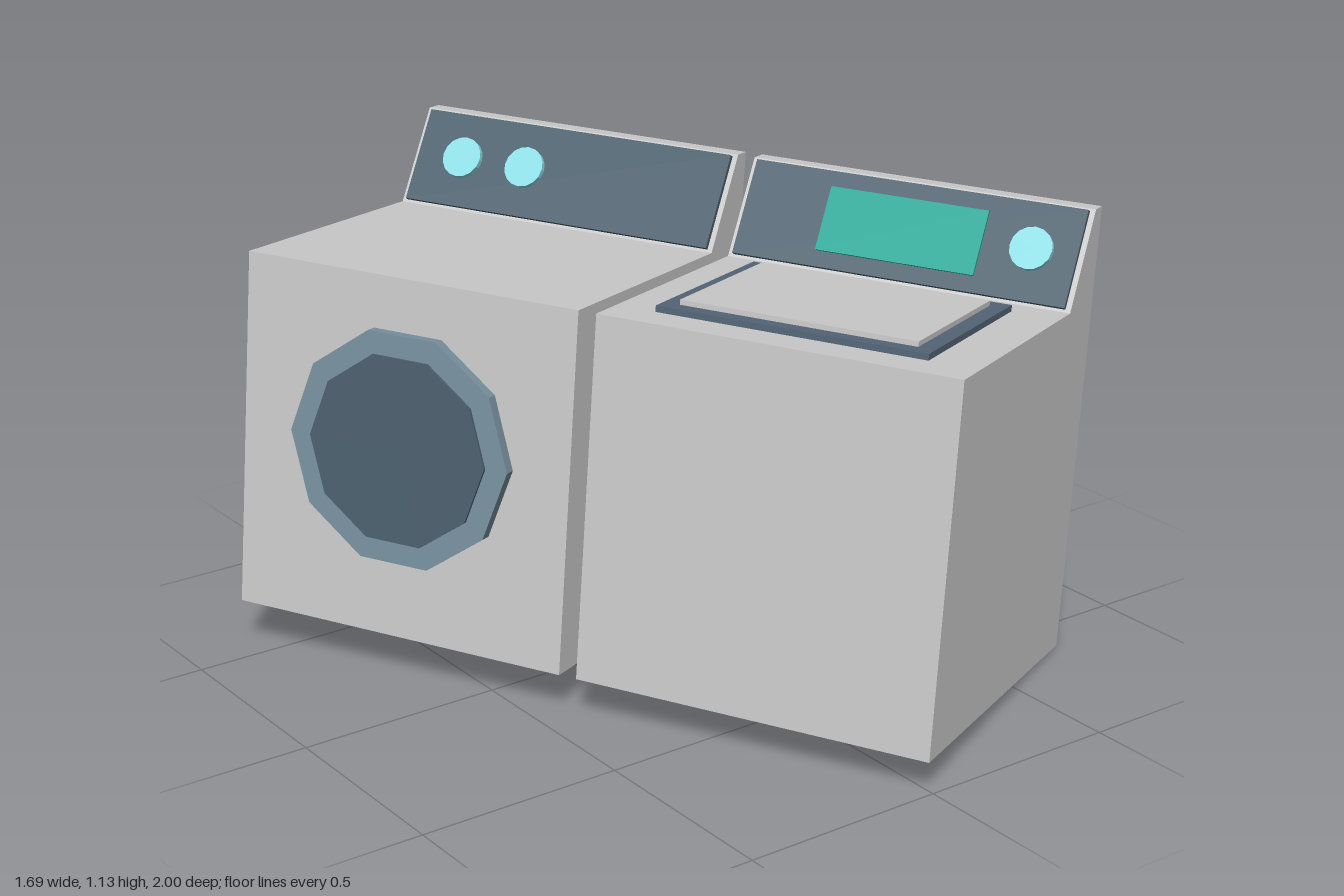
import * as THREE from 'three';

const W = 0.866, H = 0.866, D = 0.865, TOP = 1.09, PITCH = 0.91;
const SLOPE = { z0: 0.165, z1: 0.045 }; // control panel slope, foot and top

const mat = (color) => new THREE.MeshStandardMaterial({ color, flatShading: true });
const grey = mat(0xcccccc), dark = mat(0x4c606e), slate = mat(0x546678);
const steel = mat(0x7891a0), teal = mat(0x12a896), aqua = mat(0x8ee0e8);

function add(parent, name, geometry, material, x = 0, y = 0, z = 0) {
  const mesh = new THREE.Mesh(geometry, material);
  mesh.name = name;
  mesh.position.set(x, y, z);
  parent.add(mesh);
  return mesh;
}

// Disc whose axis faces +z, base on z = 0
function disc(radius, depth, sides) {
  return new THREE.CylinderGeometry(radius, radius, depth, sides)
    .rotateY(Math.PI / 2).rotateX(Math.PI / 2).translate(0, 0, depth / 2);
}

// Rectangle outline from its limits
function rect(Type, x0, y0, x1, y1) {
  return new Type([[x0, y0], [x1, y0], [x1, y1], [x0, y1]].map((p) => new THREE.Vector2(...p)));
}

// Cabinet with a raised sloping back; centred on x, back on z = 0
function appliance(name) {
  const group = new THREE.Group();
  group.name = name;
  const side = new THREE.Shape([
    [0, 0], [D, 0], [D, H], [SLOPE.z0, H], [SLOPE.z1, TOP], [0, TOP],
  ].map((p) => new THREE.Vector2(...p)));
  const body = new THREE.ExtrudeGeometry(side, { depth: W, bevelEnabled: false });
  add(group, 'cabinet', body.rotateY(-Math.PI / 2).translate(W / 2, 0, 0), grey);

  // Control panel lying on the slope
  const panel = new THREE.Group();
  panel.name = 'controlPanel';
  panel.position.set(0, (H + TOP) / 2, (SLOPE.z0 + SLOPE.z1) / 2);
  panel.rotation.x = -Math.atan2(SLOPE.z0 - SLOPE.z1, TOP - H);
  add(panel, 'panelPlate', new THREE.BoxGeometry(0.84, 0.24, 0.012), dark, 0, 0, 0.006);
  group.add(panel);
  return { group, panel };
}

const knob = (panel, x) => add(panel, 'knob', disc(0.052, 0.016, 16), aqua, x, 0.005, 0.01);

function washer() {
  const { group, panel } = appliance('washer');
  add(panel, 'screen', new THREE.BoxGeometry(0.4, 0.16, 0.008), teal, -0.012, 0, 0.014);
  knob(panel, 0.311);

  // Lid: dark frame around a slightly raised plate
  const frame = rect(THREE.Shape, -0.325, -0.266, 0.325, 0.266);
  frame.holes.push(rect(THREE.Path, -0.285, -0.226, 0.285, 0.226));
  const frameGeo = new THREE.ExtrudeGeometry(frame, { depth: 0.015, bevelEnabled: false });
  add(group, 'lidFrame', frameGeo.rotateX(-Math.PI / 2), slate, -0.01, H, 0.501);
  add(group, 'lid', new THREE.BoxGeometry(0.57, 0.027, 0.452), grey, -0.01, H + 0.0135, 0.501);
  return group;
}

function dryer() {
  const { group, panel } = appliance('dryer');
  for (const x of [-0.29, -0.113]) knob(panel, x);

  // Ten-sided door with a raised rim, flat side up
  const flat = Math.PI / 10;
  const rim = add(group, 'doorRim', disc(0.288, 0.028, 10), steel, 0, 0.465, D);
  const door = add(group, 'door', disc(0.232, 0.035, 10), dark, 0, 0.465, D);
  // Vertices fall on the horizontal axis, so top and bottom stay flat
  for (const part of [rim, door]) {
    const first = part.geometry.attributes.position;
    const angle = Math.atan2(first.getY(0), first.getX(0));
    part.rotation.z = -Math.round(angle / flat) * flat;
  }
  return group;
}

export function createModel() {
  const model = new THREE.Group();
  model.name = 'laundryPair';

  // The pair stands turned and slightly tilted
  const pair = new THREE.Group();
  pair.name = 'appliances';
  const right = new THREE.Vector3(0.468, -0.02, 0.884).normalize();
  const front = new THREE.Vector3().crossVectors(right, new THREE.Vector3(0.094, 0.9953, -0.027)).normalize();
  const up = new THREE.Vector3().crossVectors(front, right);
  pair.quaternion.setFromRotationMatrix(new THREE.Matrix4().makeBasis(right, up, front));
  pair.position.set(0.742, 0.001, 0.6);

  const a = washer(), b = dryer();
  a.position.x = -W / 2;
  b.position.x = -W / 2 - PITCH;
  pair.add(a, b);
  model.add(pair);
  return model;
}
